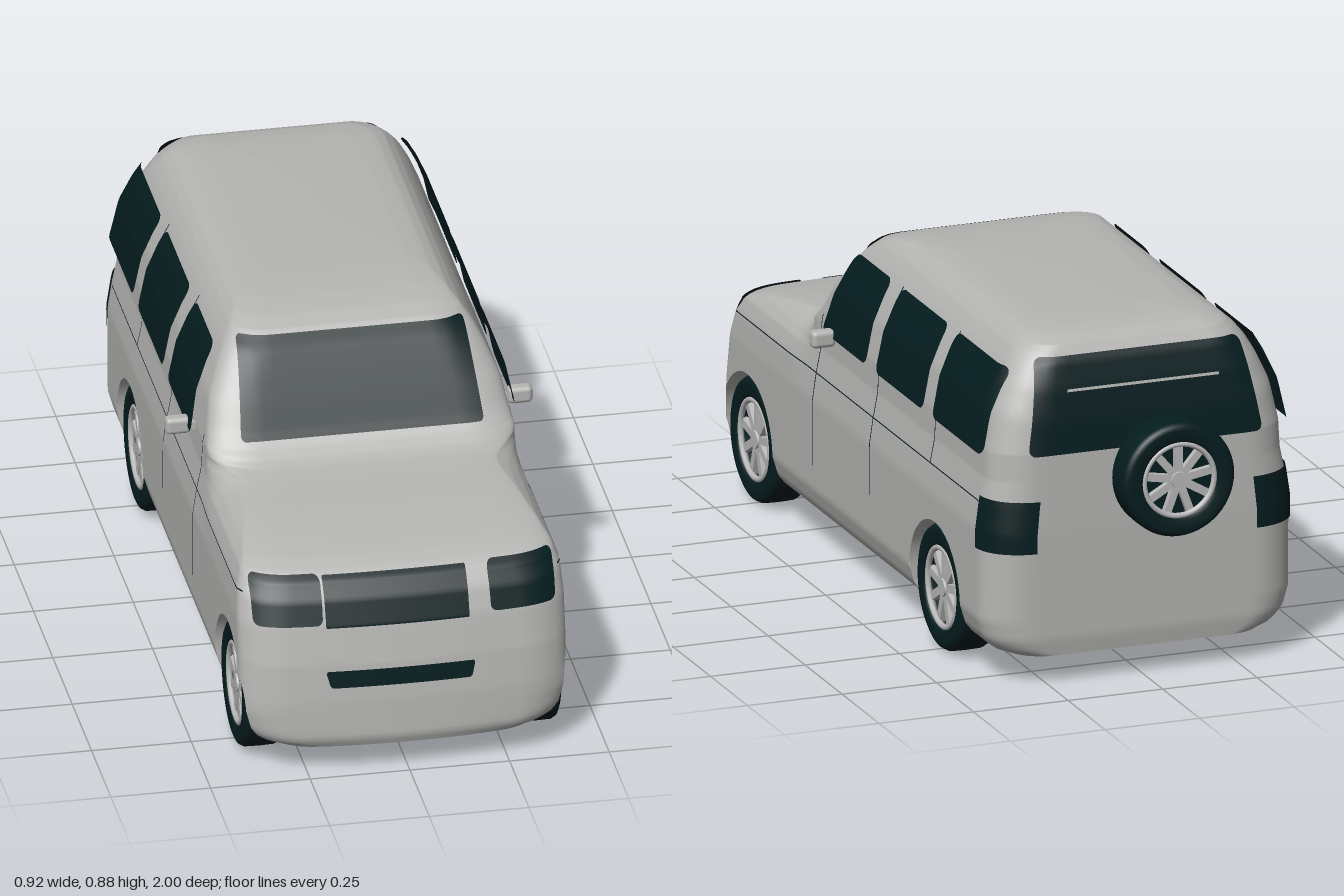
import * as THREE from 'three';
import { RoundedBoxGeometry } from 'three/addons/geometries/RoundedBoxGeometry.js';

const paint = new THREE.MeshStandardMaterial({ color: 0xb5b6b3, side: THREE.DoubleSide });
paint.name = 'greyPaint';
const dark = new THREE.MeshStandardMaterial({ color: 0x051d1f, side: THREE.DoubleSide });
dark.name = 'darkGlassAndRubber';
const alloy = new THREE.MeshStandardMaterial({ color: 0xb9bab9 });
alloy.name = 'alloy';

const { lerp, smoothstep } = THREE.MathUtils;

// Piecewise profile lookup: table of [height, value]
function look(table, y) {
  if (y <= table[0][0]) return table[0][1];
  for (let i = 1; i < table.length; i++) {
    const [a, va] = table[i - 1], [b, vb] = table[i];
    if (y <= b) return lerp(va, vb, (y - a) / (b - a));
  }
  return table[table.length - 1][1];
}
const noseTable = [[0.075, 0.99], [0.1, 1], [0.2, 0.995], [0.3, 0.983], [0.4, 0.962], [0.46, 0.94], [0.5, 0.91], [0.515, 0.885],
  [0.53, 0.84], [0.545, 0.76], [0.56, 0.65], [0.572, 0.53], [0.58, 0.465], [0.59, 0.435], [0.61, 0.405], [0.64, 0.375], [0.7, 0.335],
  [0.76, 0.293], [0.81, 0.255], [0.84, 0.22], [0.858, 0.17], [0.87, 0.1], [0.878, 0], [0.882, -0.12], [0.885, -0.25]];
const tailTable = [[0.075, -0.87], [0.12, -0.877], [0.4, -0.878], [0.6, -0.872], [0.68, -0.862], [0.76, -0.845], [0.82, -0.825],
  [0.855, -0.8], [0.87, -0.765], [0.878, -0.71], [0.882, -0.64], [0.885, -0.55]];
const cabinTable = [[0.075, 0.33], [0.09, 0.37], [0.12, 0.395], [0.17, 0.41], [0.4, 0.41], [0.47, 0.4], [0.53, 0.388], [0.6, 0.385],
  [0.7, 0.365], [0.77, 0.335], [0.81, 0.313], [0.84, 0.29], [0.86, 0.267], [0.872, 0.24], [0.88, 0.185], [0.885, 0.05]];
const hoodTable = [[0.075, 0.33], [0.09, 0.37], [0.12, 0.395], [0.17, 0.41], [0.4, 0.41], [0.47, 0.404], [0.51, 0.39], [0.535, 0.37],
  [0.555, 0.345], [0.57, 0.315], [0.58, 0.3], [0.6, 0.34], [0.65, 0.376], [0.885, 0.05]];
const CORNER = 0.3, NOSE_DEPTH = 0.06, TAIL_DEPTH = 0.09, Y0 = 0.075, Y1 = 0.885;

const halfWidth = (y, z) => lerp(look(cabinTable, y), look(hoodTable, y), smoothstep(z, 0.36, 0.5));
const bow = (y) => 0.03 * (1 - smoothstep(y, 0.48, 0.58));

// Depth of the nose (dir 1) or tail (dir -1) at a fraction t of the half width
function endZ(t, y, dir) {
  const q = Math.max(0, (Math.min(t, 1) - 1 + CORNER) / CORNER);
  const round = 1 - Math.sqrt(Math.max(0, 1 - q * q));
  return dir > 0 ? look(noseTable, y) - NOSE_DEPTH * round - bow(y) * t * t : look(tailTable, y) + TAIL_DEPTH * round;
}
const endAt = (x, y, dir) => endZ(Math.abs(x) / halfWidth(y, look(dir > 0 ? noseTable : tailTable, y)), y, dir);

// Half width of the body at a height and depth, rounded corners included
function sideX(y, z) {
  const dir = z > 0 ? 1 : -1;
  let lo = 0.3, hi = 1;
  if ((z - endZ(1, y, dir)) * dir > 0) {
    for (let i = 0; i < 16; i++) {
      const mid = (lo + hi) / 2;
      if ((z - endZ(mid, y, dir)) * dir > 0) hi = mid; else lo = mid;
    }
  }
  return hi * halfWidth(y, z);
}

// Wheel arches: round on top, straight below the axle
const AXLE = 0.16, ARCH = 0.172, axles = [0.762, -0.505];
function archSnap(y, z) {
  for (const c of axles) {
    const dz = z - c, dy = Math.max(0, y - AXLE), d = Math.hypot(dz, dy);
    if (d < ARCH) {
      const k = ARCH / Math.max(d, 1e-4);
      return { y: dy > 0 ? AXLE + dy * k : y, z: c + dz * k };
    }
  }
  return null;
}

const ts = [];
for (let i = 0; i <= 8; i++) ts.push((1 - CORNER) * i / 8);
for (let i = 1; i <= 10; i++) ts.push(1 - CORNER + CORNER * Math.sin(i / 10 * Math.PI / 2));

function mesh(name, geometry, material) {
  const m = new THREE.Mesh(geometry, material);
  m.name = name;
  return m;
}
function indexed(positions, index) {
  const g = new THREE.BufferGeometry();
  g.setAttribute('position', new THREE.Float32BufferAttribute(positions, 3));
  g.setIndex(index);
  g.computeVertexNormals();
  return g;
}
// Surface from a function of (u, v)
function surface(nu, nv, fn) {
  const p = [], idx = [];
  for (let j = 0; j <= nv; j++) for (let i = 0; i <= nu; i++) p.push(...fn(i / nu, j / nv));
  for (let j = 0; j < nv; j++) for (let i = 0; i < nu; i++) {
    const a = j * (nu + 1) + i, c = a + nu + 1;
    idx.push(a, a + 1, c, a + 1, c + 1, c);
  }
  return indexed(p, idx);
}
// Rounded four-sided panel laid on the body; place(s, y) gives the point
function panel(name, mat, [b0, b1], [t0, t1], [y0, y1], r, place) {
  return mesh(name, surface(20, 24, (u, w) => {
    const v = (1 - Math.cos(Math.PI * w)) / 2, y = lerp(y0, y1, v), d = Math.min(y - y0, y1 - y);
    const inset = d < r ? r - Math.sqrt(Math.max(0, r * r - (r - d) ** 2)) : 0;
    return place(lerp(lerp(b0, t0, v) + inset, lerp(b1, t1, v) - inset, u), y);
  }), mat);
}
const onEnd = (dir, off) => (x, y) => [x, y, endAt(x, y, dir) + dir * off];
const onSide = (sx, off) => (z, y) => [sx * (sideX(y, z) + off), y, z];

// Body shell: stacked horizontal outlines, with the arches cut out
function shell() {
  const levels = [];
  [[Y0, 0.5, 36], [0.5, 0.62, 30], [0.62, 0.84, 18], [0.84, Y1, 18]].forEach(([a, b, n]) => {
    for (let i = 0; i < n; i++) levels.push(lerp(a, b, i / n));
  });
  levels.push(Y1);
  const p = [], cut = [], idx = [], N = 120;
  let ring = 0;
  for (const y of levels) {
    const half = ts.map((t) => ({ t, z: endZ(t, y, 1) }));
    const zf = endZ(1, y, 1), zb = endZ(1, y, -1);
    for (let i = 1; i < N; i++) half.push({ t: 1, z: lerp(zf, zb, i / N) });
    [...ts].reverse().forEach((t) => half.push({ t, z: endZ(t, y, -1) }));
    const pts = half.map(({ t, z }) => {
      const s = t > 0.72 ? archSnap(y, z) : null;
      return s ? [sideX(s.y, s.z), s.y, s.z, true] : [t * halfWidth(y, z), y, z, false];
    });
    const all = pts.concat(pts.slice(1, -1).reverse().map(([x, b, z, s]) => [-x, b, z, s]));
    ring = all.length;
    for (const [x, b, z, s] of all) { p.push(x, b, z); cut.push(s); }
  }
  for (let j = 0; j < levels.length - 1; j++) for (let i = 0; i < ring; i++) {
    const a = j * ring + i, b = j * ring + (i + 1) % ring, c = a + ring, d = b + ring;
    if (!(cut[a] && cut[b] && cut[c] && cut[d])) idx.push(a, b, c, b, d, c);
  }
  const top = (levels.length - 1) * ring, centre = p.length / 3;
  p.push(0, Y1, -0.4);
  for (let i = 0; i < ring; i++) idx.push(top + i, top + (i + 1) % ring, centre);
  return indexed(p, idx);
}

// Flat floor with notches for the wheels
const WELL = 0.25;
function floor() {
  const w = halfWidth(Y0, 0);
  const half = ts.map((t) => [t * w, endZ(t, Y0, 1)]).filter(([, z]) => z > axles[0] + ARCH);
  for (const c of axles) for (const [inner, z] of [[0, c + ARCH], [1, c + ARCH], [1, c - ARCH], [0, c - ARCH]])
    half.push([inner ? WELL : sideX(Y0, z), z]);
  [...ts].reverse().forEach((t) => half.push([t * w, endZ(t, Y0, -1)]));
  const all = half.concat(half.slice(1, -1).reverse().map(([x, z]) => [-x, z]));
  return new THREE.ShapeGeometry(new THREE.Shape(all.map(([x, z]) => new THREE.Vector2(x, z))))
    .rotateX(Math.PI / 2).translate(0, Y0, 0);
}

// Wheel with its axis along x and its face towards +x
function wheel(name) {
  const g = new THREE.Group();
  g.name = name;
  const v = (list) => list.map(([r, h]) => new THREE.Vector2(r, h));
  const turn = (geo) => geo.rotateZ(-Math.PI / 2);
  g.add(mesh('tyre', turn(new THREE.LatheGeometry(v([[0.1, -0.05], [0.142, -0.052], [0.153, -0.047], [0.159, -0.036], [0.16, 0],
    [0.159, 0.036], [0.153, 0.047], [0.142, 0.052], [0.115, 0.05], [0.104, 0.044], [0.1, 0.03]]), 56)), dark));
  g.add(mesh('rimBack', turn(new THREE.CylinderGeometry(0.101, 0.101, 0.05, 40)).translate(-0.02, 0, 0), dark));
  g.add(mesh('rimRing', new THREE.TorusGeometry(0.1, 0.008, 8, 48).rotateY(Math.PI / 2).translate(0.041, 0, 0), alloy));
  g.add(mesh('hub', turn(new THREE.CylinderGeometry(0.022, 0.028, 0.03, 24)).translate(0.03, 0, 0), alloy));
  for (let i = 0; i < 9; i++) {
    const spoke = mesh('spoke', new THREE.BoxGeometry(0.016, 0.085, 0.021).translate(0.032, 0.058, 0), alloy);
    spoke.rotation.x = i / 9 * Math.PI * 2;
    g.add(spoke);
  }
  return g;
}

export function createModel() {
  const car = new THREE.Group();
  car.name = 'car';
  car.add(mesh('bodyShell', shell(), paint), mesh('floor', floor(), paint));

  // Nose details
  car.add(panel('windscreen', dark, [-0.305, 0.305], [-0.285, 0.285], [0.628, 0.836], 0.012, onEnd(1, 0.01)));
  car.add(panel('grille', dark, [-0.203, 0.156], [-0.203, 0.156], [0.395, 0.51], 0.003, onEnd(1, 0.01)));
  car.add(panel('lowerGrille', dark, [-0.195, 0.158], [-0.207, 0.168], [0.24, 0.284], 0.008, onEnd(1, 0.006)));
  car.add(panel('frontPlate', paint, [-0.146, 0.1], [-0.146, 0.1], [0.3, 0.353], 0.003, onEnd(1, 0.004)));

  // Tail details
  car.add(panel('rearWindow', dark, [-0.31, 0.31], [-0.27, 0.27], [0.6, 0.835], 0.02, onEnd(-1, 0.018)));
  car.add(panel('rearWiper', paint, [-0.2, 0.2], [-0.2, 0.2], [0.752, 0.759], 0.001, onEnd(-1, 0.022)));
  car.add(panel('rearPlate', paint, [-0.13, 0.13], [-0.13, 0.13], [0.25, 0.32], 0.004, onEnd(-1, 0.004)));

  for (const sx of [1, -1]) {
    // Lamps
    car.add(panel('headlight', dark, [sx * 0.295 - 0.084, sx * 0.295 + 0.084], [sx * 0.295 - 0.086, sx * 0.295 + 0.086],
      [0.404, 0.514], 0.016, onEnd(1, 0.014)));
    car.add(panel('fogPanel', paint, [sx * 0.31 - 0.068, sx * 0.31 + 0.068], [sx * 0.31 - 0.068, sx * 0.31 + 0.068],
      [0.255, 0.334], 0.006, onEnd(1, 0.004)));
    car.add(panel('tailLight', dark, [0, 1], [0, 1], [0.352, 0.485], 0.004, (s, y) => {
      const a = s * Math.PI / 2, w = halfWidth(y, -0.8);
      return [sx * (w * (1 - CORNER + CORNER * Math.cos(a)) + 0.003), y,
        look(tailTable, y) + TAIL_DEPTH * (1 - Math.sin(a)) - 0.018 * Math.sin(a)];
    }));

    // Side windows: rear edge and front edge at the sill, then at the roof
    for (const [b, t] of [[[-0.032, 0.262], [-0.032, 0.2]], [[-0.418, -0.098], [-0.415, -0.102]], [[-0.812, -0.482], [-0.795, -0.476]]])
      car.add(panel('sideWindow', dark, b, t, [0.595, 0.808], 0.022, onSide(sx, 0.022)));

    // Door gaps and waistline
    for (const [z, y0, y1] of [[0.315, 0.23, 0.62], [-0.07, 0.27, 0.8], [-0.455, 0.47, 0.8]])
      car.add(panel('doorGap', dark, [z - 0.002, z + 0.002], [z - 0.002, z + 0.002], [y0, y1], 0.001, onSide(sx, 0.002)));
    car.add(mesh('waistline', surface(80, 1, (u, v) => onSide(sx, 0.002)(lerp(-0.78, 0.87, u), 0.468 + 0.003 * v)), dark));

    // Mirrors
    const mirror = mesh('mirror', new RoundedBoxGeometry(0.062, 0.044, 0.036, 4, 0.012), paint);
    mirror.position.set(sx * 0.429, 0.595, 0.205);
    const arm = mesh('mirrorArm', new THREE.BoxGeometry(0.04, 0.018, 0.016), paint);
    arm.position.set(sx * 0.395, 0.59, 0.205);
    car.add(mirror, arm);

    // Wheels and wells
    for (const c of axles) {
      const w = wheel(c > 0 ? 'frontWheel' : 'rearWheel');
      w.position.set(sx * 0.347, AXLE, c);
      if (sx < 0) w.rotation.y = Math.PI;
      car.add(w);
      const arch = [[c + ARCH, Y0], [c + ARCH, 0.1], [c + ARCH, 0.13]];
      for (let i = 0; i <= 28; i++) arch.push([c + ARCH * Math.cos(i / 28 * Math.PI), AXLE + ARCH * Math.sin(i / 28 * Math.PI)]);
      arch.push([c - ARCH, 0.13], [c - ARCH, 0.1], [c - ARCH, Y0]);
      car.add(mesh('wheelWell', surface(arch.length - 1, 1, (u, v) => {
        const [z, y] = arch[Math.round(u * (arch.length - 1))];
        return [sx * (v ? sideX(y, z) : WELL), y, z];
      }), paint));
      const wall = new THREE.ShapeGeometry(new THREE.Shape(arch.map(([z, y]) => new THREE.Vector2(z, y))));
      car.add(mesh('wellWall', wall.rotateY(-Math.PI / 2).translate(sx * WELL, 0, 0), paint));
    }
  }

  // Spare wheel on the tailgate
  const spare = wheel('spareWheel');
  spare.rotation.y = Math.PI / 2;
  spare.scale.set(1, 0.925, 0.925);
  spare.position.set(-0.048, 0.533, -0.948);
  const mount = mesh('spareMount', new THREE.CylinderGeometry(0.05, 0.05, 0.06, 24).rotateX(Math.PI / 2), dark);
  mount.position.set(-0.048, 0.533, -0.89);
  car.add(spare, mount);
  return car;
}
